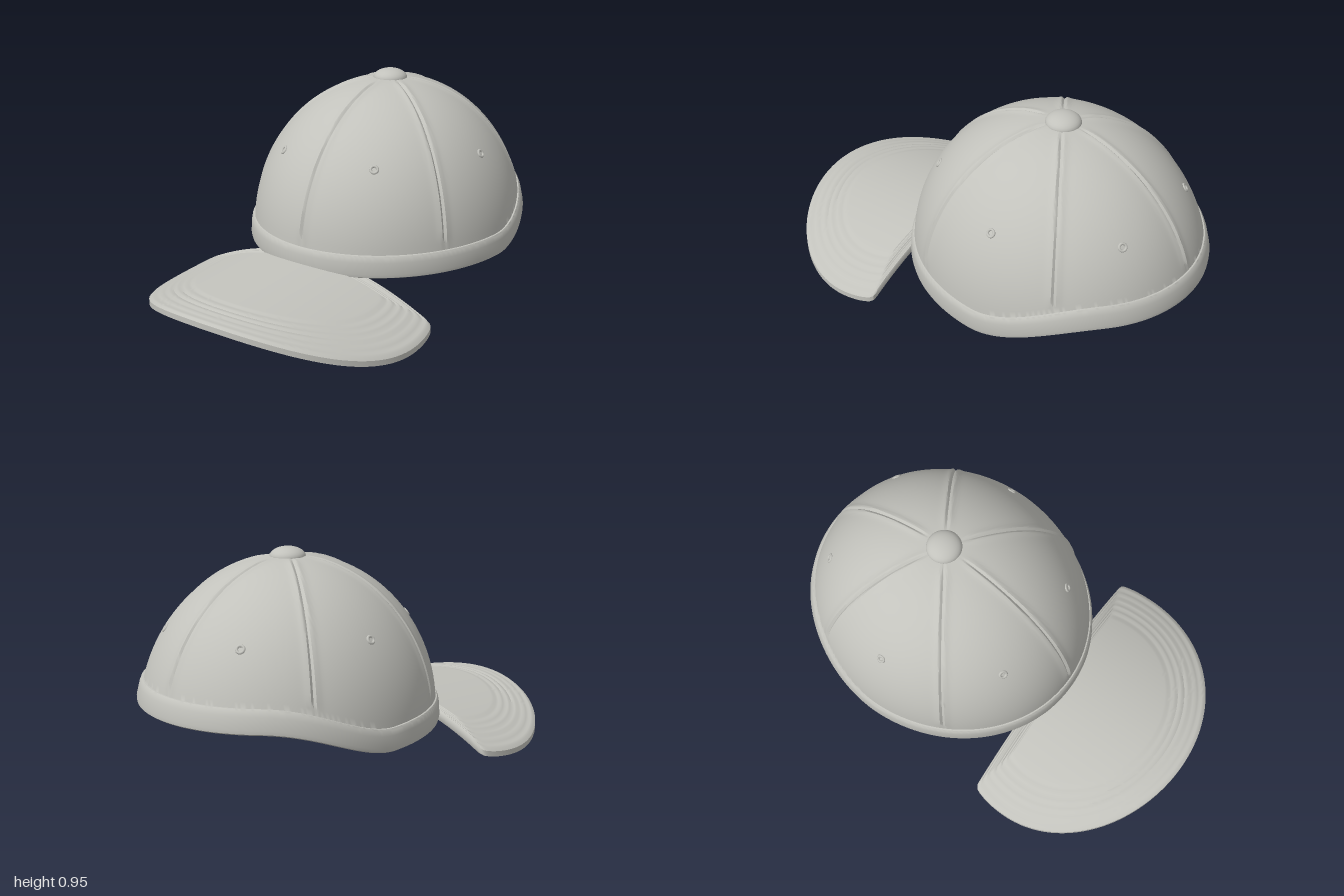
import * as THREE from 'three';
import { toCreasedNormals } from 'three/addons/utils/BufferGeometryUtils.js';

const CZ = -0.31, RX = 0.6, RZ = 0.665, BASE = 0.25, RISE = 0.675;

// Closed-around surface: fn(angle, row) gives a point, rows run from the first pole outward
function loft(segments, rows, fn) {
  const pos = [], index = [];
  for (let j = 0; j < rows; j++)
    for (let i = 0; i < segments; i++) pos.push(...fn((i / segments) * Math.PI * 2, j));
  for (let j = 0; j < rows - 1; j++)
    for (let i = 0; i < segments; i++) {
      const n = (i + 1) % segments;
      const a = j * segments + i, b = j * segments + n;
      index.push(a, b, a + segments, b, b + segments, a + segments);
    }
  const geo = new THREE.BufferGeometry();
  geo.setAttribute('position', new THREE.Float32BufferAttribute(pos, 3));
  geo.setIndex(index);
  return toCreasedNormals(geo, 0.65);
}

// Point on the dome, pushed along its normal by off
function domePoint(theta, phi, y, off) {
  const s = Math.sin(phi), c = Math.cos(theta), n = Math.sin(theta);
  return [(RX + off) * s * c, y + off * Math.cos(phi), CZ + (RZ + off) * s * n];
}

// Lower rim height: low at the front, sweeping up to the back
function rimHeight(theta) {
  const z = CZ + 0.685 * Math.sin(theta);
  return 0.2 + 0.135 * THREE.MathUtils.smoothstep(-z, 0.28, 0.83);
}

// Raised panel seam with a stitched groove along its middle, six around
function seam(theta, phi) {
  const d = (Math.abs(Math.asin(Math.sin(3 * (theta - Math.PI / 2)))) / 3) * 0.62 * Math.sin(phi);
  const ridge = 0.008 * Math.exp(-((d / 0.022) ** 2)) - 0.012 * Math.exp(-((d / 0.007) ** 2));
  return ridge * THREE.MathUtils.smoothstep(phi, 0.08, 0.25);
}

// Crown shell: outer dome, rolled band, inner dome
function crownGeometry() {
  const N = 36;
  const band = [[0.098, 0.006], [0.09, 0.011], [0.07, 0.014], [0.02, 0.017], [0.005, 0.014],
    [0, 0.005], [0, -0.022], [0.008, -0.03], [0.07, -0.03], [0.092, -0.027]];
  return loft(360, N * 2 + band.length, (theta, j) => {
    const rim = rimHeight(theta);
    const end = Math.acos((rim + 0.1 - BASE) / RISE);
    if (j >= N && j < N + band.length) {
      const [dy, off] = band[j - N];
      const y = rim + dy;
      return domePoint(theta, Math.acos(Math.max(0, (y - BASE) / RISE)), y, off);
    }
    const outer = j < N;
    const t = outer ? j / (N - 1) : (N * 2 + band.length - 1 - j) / (N - 1);
    const phi = Math.max(0.001, t * end);
    const fade = 1 - THREE.MathUtils.smoothstep(t, 0.93, 1);
    const s = seam(theta, phi) * fade;
    return domePoint(theta, phi, BASE + RISE * Math.cos(phi), outer ? s : -0.025 - s);
  });
}

// Brim outline: front half ellipse, short tapering sides, straight back edge
function brimOutline() {
  const s = new THREE.Shape();
  s.moveTo(0.64, 0.43);
  s.absellipse(0, 0.43, 0.64, 0.56, 0, Math.PI, false);
  s.quadraticCurveTo(-0.64, 0.34, -0.618, 0.28);
  s.quadraticCurveTo(-0.612, 0.262, -0.59, 0.262);
  s.lineTo(0.59, 0.262);
  s.quadraticCurveTo(0.612, 0.262, 0.618, 0.28);
  s.quadraticCurveTo(0.64, 0.34, 0.64, 0.43);
  return s;
}

// Curved brim slab with rows of stitching following its edge
function brimGeometry() {
  const SEG = 180, N = 56, THICK = 0.04, centre = 0.45;
  const outline = brimOutline().getSpacedPoints(SEG);
  const stitches = [0.94, 0.88, 0.82, 0.76, 0.7];
  return loft(SEG, N * 2, (theta, j) => {
    const top = j < N;
    const k = (top ? j : N * 2 - 1 - j) / (N - 1);
    const s = Math.max(0.001, k);
    const p = outline[Math.round((theta / (Math.PI * 2)) * SEG)];
    const x = p.x * s, z = centre + (p.y - centre) * s;
    let groove = 0;
    for (const r of stitches) groove += 0.005 * Math.exp(-(((s - r) / 0.014) ** 2));
    groove += 0.008 * THREE.MathUtils.smoothstep(s, 0.975, 1);
    const surface = 0.235 - 0.065 * (z - 0.27) - 0.43 * x * x;
    return [x, top ? surface - groove : surface - THICK + groove, z];
  });
}

export function createModel() {
  const group = new THREE.Group();
  const cloth = new THREE.MeshStandardMaterial({ color: 0xc2c2bc });
  cloth.name = 'light grey cloth';
  const add = (name, geometry) => {
    const mesh = new THREE.Mesh(geometry, cloth);
    mesh.name = name;
    group.add(mesh);
    return mesh;
  };

  add('crown', crownGeometry());
  add('brim', brimGeometry());

  // Covered button on top
  const button = add('topButton', new THREE.SphereGeometry(1, 32, 16));
  button.scale.set(0.077, 0.042, 0.077);
  button.position.set(0, 0.918, -0.315);

  // One stitched eyelet in each panel, outside and inside
  const ring = new THREE.TorusGeometry(0.015, 0.006, 8, 20);
  for (let i = 0; i < 6; i++) {
    const theta = (i * Math.PI) / 3, phi = 0.95;
    const normal = new THREE.Vector3(
      (Math.sin(phi) * Math.cos(theta)) / RX, Math.cos(phi) / RISE, (Math.sin(phi) * Math.sin(theta)) / RZ).normalize();
    for (const off of [0, -0.025]) {
      const eyelet = add(off ? 'innerEyelet' : 'eyelet', ring);
      eyelet.position.set(...domePoint(theta, phi, BASE + RISE * Math.cos(phi), off));
      eyelet.quaternion.setFromUnitVectors(new THREE.Vector3(0, 0, 1), normal);
    }
  }
  return group;
}
